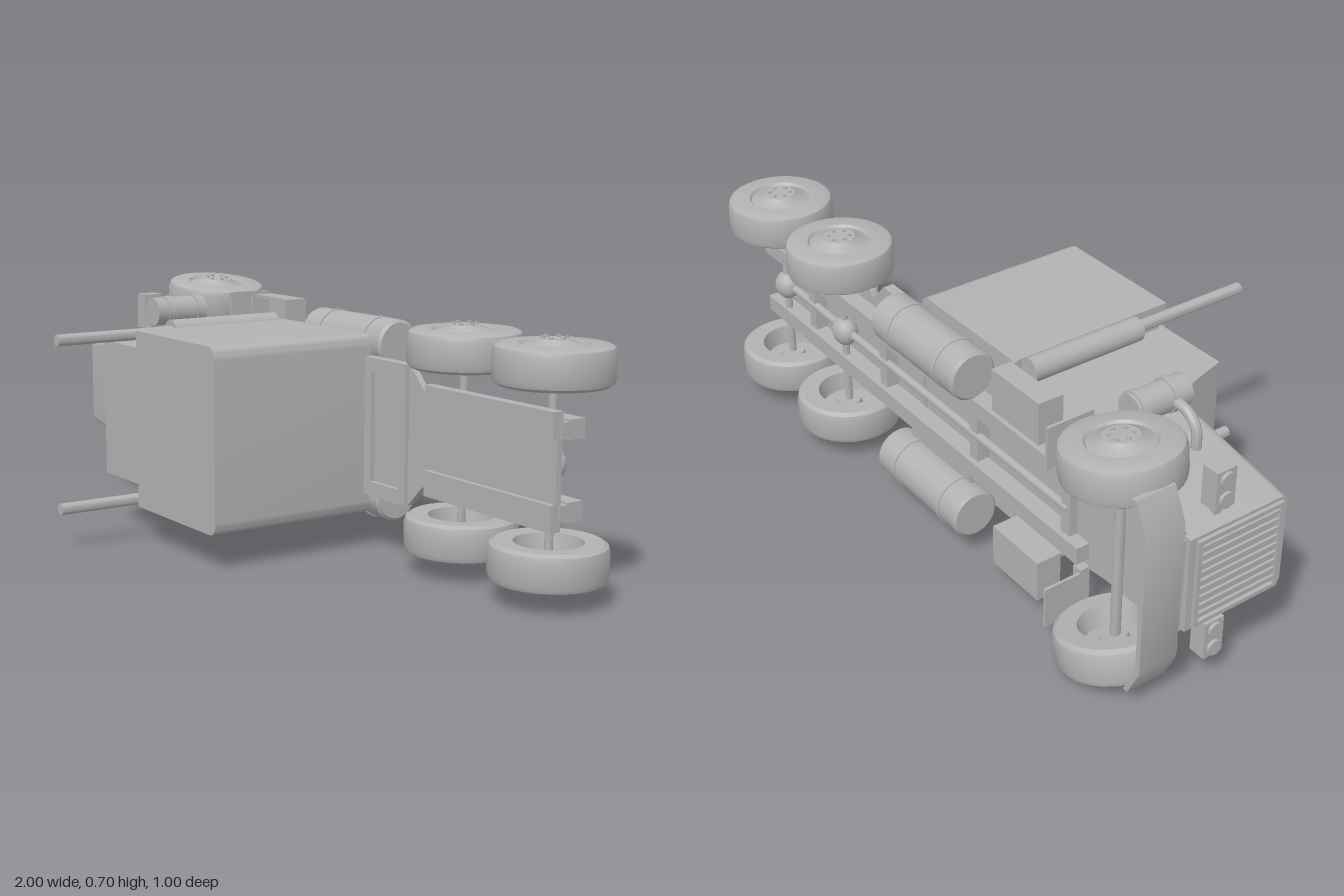
import * as THREE from 'three';
import { toCreasedNormals } from 'three/addons/utils/BufferGeometryUtils.js';

export function createModel() {
  const model = new THREE.Group();
  model.name = 'overturnedTruck';
  // Truck frame: x runs to the rear, z is the truck's up, y is its width
  const truck = new THREE.Group();
  truck.name = 'truck';
  truck.position.y = 0.375;
  truck.rotation.y = -0.1;
  model.add(truck);

  const grey = new THREE.MeshStandardMaterial({ color: 0xb2b2b2, side: THREE.DoubleSide });
  grey.name = 'plain grey';

  const add = (name, geo, x = 0, y = 0, z = 0, parent = truck) => {
    const mesh = new THREE.Mesh(toCreasedNormals(geo, 0.6), grey);
    mesh.name = name;
    mesh.position.set(x, y, z);
    parent.add(mesh);
    return mesh;
  };
  // Box given by its limits on each axis
  const block = (name, x0, x1, y0, y1, z0, z1) =>
    add(name, new THREE.BoxGeometry(x1 - x0, y1 - y0, z1 - z0), (x0 + x1) / 2, (y0 + y1) / 2, (z0 + z1) / 2);
  const rod = (name, axis, r, len, x, y, z, sides = 16) => {
    const geo = new THREE.CylinderGeometry(r, r, len, sides);
    if (axis === 'x') geo.rotateZ(Math.PI / 2);
    if (axis === 'z') geo.rotateX(Math.PI / 2);
    return add(name, geo, x, y, z);
  };
  const polygon = (pts) => new THREE.Shape(pts.map((p) => new THREE.Vector2(p[0], p[1])));
  const bothSides = (fn) => [1, -1].forEach(fn);

  // Sleeper: plan outline with rounded rear corners, extruded upwards
  const s = new THREE.Shape();
  s.moveTo(-0.28, -0.255);
  s.lineTo(0.115, -0.255);
  s.quadraticCurveTo(0.148, -0.255, 0.148, -0.22);
  s.lineTo(0.148, 0.22);
  s.quadraticCurveTo(0.148, 0.255, 0.115, 0.255);
  s.lineTo(-0.28, 0.255);
  add('sleeper', new THREE.ExtrudeGeometry(s, { depth: 0.51, bevelEnabled: false, curveSegments: 6 }), 0, 0, -0.213);

  // Cab: side outline with a sloped windscreen, extruded across the width
  const cabSide = polygon([[-0.575, -0.23], [-0.27, -0.23], [-0.27, 0.272], [-0.525, 0.272], [-0.572, 0.11]]);
  const cabGeo = new THREE.ExtrudeGeometry(cabSide, { depth: 0.4, bevelEnabled: false });
  cabGeo.rotateX(Math.PI / 2);
  add('cab', cabGeo, 0, 0.2, 0);
  block('cabJoint', -0.3, -0.275, -0.215, 0.215, -0.2, 0.255);

  // Hood: rounded section, narrower and lower towards the nose
  const h = new THREE.Shape();
  h.moveTo(-1, 0);
  h.lineTo(1, 0);
  h.lineTo(1, 0.9);
  h.quadraticCurveTo(1, 1, 0.84, 1);
  h.lineTo(-0.84, 1);
  h.quadraticCurveTo(-1, 1, -1, 0.9);
  const hoodGeo = new THREE.ExtrudeGeometry(h, { depth: 1, bevelEnabled: false, curveSegments: 6 });
  const hp = hoodGeo.attributes.position;
  for (let i = 0; i < hp.count; i++) {
    const t = hp.getZ(i);
    hp.setXYZ(i, -0.99 + 0.42 * t, hp.getX(i) * (0.137 + 0.055 * t), -0.23 + hp.getY(i) * (0.308 + 0.022 * t));
  }
  add('hood', hoodGeo);

  // Grille frame and upright bars
  bothSides((k) => block('grilleFrameSide', -1.0, -0.985, k * 0.122 - 0.006, k * 0.122 + 0.006, -0.21, 0.06));
  block('grilleFrameTop', -1.0, -0.985, -0.122, 0.122, 0.048, 0.06);
  block('grilleFrameBottom', -1.0, -0.985, -0.122, 0.122, -0.21, -0.198);
  for (let i = -4; i <= 4; i++) block('grilleBar', -0.997, -0.985, i * 0.025 - 0.006, i * 0.025 + 0.006, -0.2, 0.05);

  // Bumper with swept-back ends
  const bumper = polygon([[-0.99, -0.2], [-0.95, -0.285], [-0.935, -0.285], [-0.975, -0.19],
    [-0.975, 0.19], [-0.935, 0.285], [-0.95, 0.285], [-0.99, 0.2]]);
  add('bumper', new THREE.ExtrudeGeometry(bumper, { depth: 0.115, bevelEnabled: false }), 0, 0, -0.365);
  block('bumperMount', -0.975, -0.9, -0.13, 0.13, -0.3, -0.22);

  // Rear deck: wide panel narrowing to the tail
  const deck = polygon([[0.14, -0.195], [0.335, -0.195], [0.4, -0.13], [0.41, -0.15], [0.915, -0.15],
    [0.915, 0.15], [0.41, 0.15], [0.4, 0.13], [0.335, 0.195], [0.14, 0.195]]);
  add('rearDeck', new THREE.ExtrudeGeometry(deck, { depth: 0.018, bevelEnabled: false }), 0, 0, -0.222);
  bothSides((k) => {
    block('deckLip', 0.42, 0.915, k * 0.115 - 0.035, k * 0.115 + 0.035, -0.206, -0.19);
    block('deckPanelEdge', 0.16, 0.335, k * 0.175 - 0.02, k * 0.175 + 0.02, -0.206, -0.19);
  });
  block('deckPanelFront', 0.15, 0.18, -0.195, 0.195, -0.206, -0.19);
  block('deckPanelRear', 0.305, 0.335, -0.155, 0.155, -0.206, -0.19);

  // Chassis rails, crossmembers and driveline
  bothSides((k) => {
    block('chassisRail', -0.65, 0.92, k * 0.103 - 0.025, k * 0.103 + 0.025, -0.29, -0.24);
    block('railBracket', 0.87, 0.92, k * 0.103 - 0.02, k * 0.103 + 0.02, -0.24, -0.215);
  });
  [-0.6, -0.2, 0.25, 0.65].forEach((x) => block('crossmember', x, x + 0.035, -0.085, 0.085, -0.275, -0.235));
  block('engineFloor', -0.97, -0.58, -0.15, 0.15, -0.25, -0.225);
  rod('driveShaft', 'x', 0.012, 1.4, 0.11, 0, -0.268);

  // Wheel profile from the dished inner side out to the hub cap
  const profile = [[0, -0.015], [0.035, -0.015], [0.04, 0.005], [0.08, 0.005], [0.09, -0.05], [0.138, -0.052],
    [0.15, -0.044], [0.154, -0.03], [0.154, 0.032], [0.149, 0.045], [0.138, 0.051], [0.09, 0.052], [0.084, 0.045],
    [0.05, 0.058], [0.046, 0.063], [0, 0.063]].map((p) => new THREE.Vector2(p[0], p[1]));
  const wheel = (name, x, y, z, k, steer = 0) => {
    const g = new THREE.Group();
    g.name = name;
    g.position.set(x, y, z);
    g.rotation.z = steer;
    truck.add(g);
    const spin = new THREE.Group();
    spin.name = 'wheelAssembly';
    if (k < 0) spin.rotation.x = Math.PI;
    g.add(spin);
    add('tyreAndRim', new THREE.LatheGeometry(profile, 28), 0, 0, 0, spin);
    for (let i = 0; i < 6; i++) {
      const a = (i * Math.PI) / 3;
      add('wheelNut', new THREE.CylinderGeometry(0.006, 0.006, 0.008, 6), 0.03 * Math.cos(a), 0.065, 0.03 * Math.sin(a), spin);
    }
  };
  bothSides((k) => {
    wheel('frontWheel', -0.792, k * 0.275, -0.275, k, k > 0 ? -0.13 : -0.235);
    [0.48, 0.822].forEach((x) => wheel('rearWheel', x, k * 0.25, -0.273, k));
  });
  rod('frontAxle', 'y', 0.014, 0.52, -0.792, 0, -0.275);
  [0.48, 0.822].forEach((x) => {
    rod('rearAxle', 'y', 0.011, 0.48, x, 0, -0.273);
    const diff = add('differential', new THREE.SphereGeometry(0.043, 14, 10), x, 0, -0.273);
    diff.scale.z = 0.85;
  });

  // Side fittings, mirrored
  bothSides((k) => {
    // Fuel tank with bevelled ends and straps
    const tank = [[0, -0.193], [0.062, -0.193], [0.07, -0.185], [0.07, 0.185], [0.062, 0.193], [0, 0.193]];
    const tankGeo = new THREE.LatheGeometry(tank.map((p) => new THREE.Vector2(p[0], p[1])), 24);
    tankGeo.rotateZ(-Math.PI / 2);
    add('fuelTank', tankGeo, -0.041, k * 0.22, -0.307);
    [-0.15, 0.07].forEach((x) => rod('tankStrap', 'x', 0.073, 0.014, x, k * 0.22, -0.307, 24));
    block('tankMount', -0.18, 0.1, k * 0.14 - 0.02, k * 0.14 + 0.02, -0.29, -0.25);

    // Open step box
    const y0 = k * 0.245;
    block('stepFloor', -0.535, -0.34, y0 - 0.06, y0 + 0.06, -0.325, -0.31);
    block('stepInnerWall', -0.535, -0.34, k * 0.19 - 0.006, k * 0.19 + 0.006, -0.325, -0.225);
    block('stepOuterWall', -0.535, -0.34, k * 0.3 - 0.005, k * 0.3 + 0.005, -0.325, -0.265);
    block('stepTread', -0.535, -0.34, k * 0.215 - 0.025, k * 0.215 + 0.025, -0.275, -0.265);
    [-0.53, -0.345].forEach((x) => block('stepEnd', x - 0.005, x + 0.005, y0 - 0.06, y0 + 0.06, -0.325, -0.25));

    // Exhaust stack
    rod('exhaustMuffler', 'z', 0.034, 0.355, -0.318, k * 0.24, -0.015, 20);
    rod('exhaustPipe', 'z', 0.0165, 0.37, -0.314, k * 0.24, 0.343);

    // Air cleaner with bands and an intake pipe into the hood
    rod('airCleaner', 'z', 0.043, 0.17, -0.632, k * 0.26, -0.037, 20);
    [-0.1, 0.0].forEach((z) => rod('airCleanerBand', 'z', 0.047, 0.025, -0.632, k * 0.26, z, 20));
    const path = new THREE.CatmullRomCurve3([[-0.65, 0.26], [-0.71, 0.255], [-0.745, 0.225], [-0.75, 0.15]]
      .map((p) => new THREE.Vector3(p[0], k * p[1], -0.005)));
    add('intakePipe', new THREE.TubeGeometry(path, 16, 0.014, 10));

    // Headlamp pod with two lamps
    block('headlampPod', -0.975, -0.925, k * 0.225 - 0.055, k * 0.225 + 0.055, -0.145, -0.085);
    [0.197, 0.253].forEach((y) => rod('headlamp', 'x', 0.022, 0.012, -0.978, k * y, -0.115));
    block('headlampArm', -0.955, -0.94, k * 0.155 - 0.025, k * 0.155 + 0.025, -0.125, -0.105);

    // Mud flap behind the front wheel
    block('mudFlap', -0.63, -0.622, k * 0.245 - 0.06, k * 0.245 + 0.06, -0.37, -0.23);
    block('mudFlapBracket', -0.63, -0.6, k * 0.19 - 0.015, k * 0.19 + 0.015, -0.26, -0.23);
  });
  return model;
}
